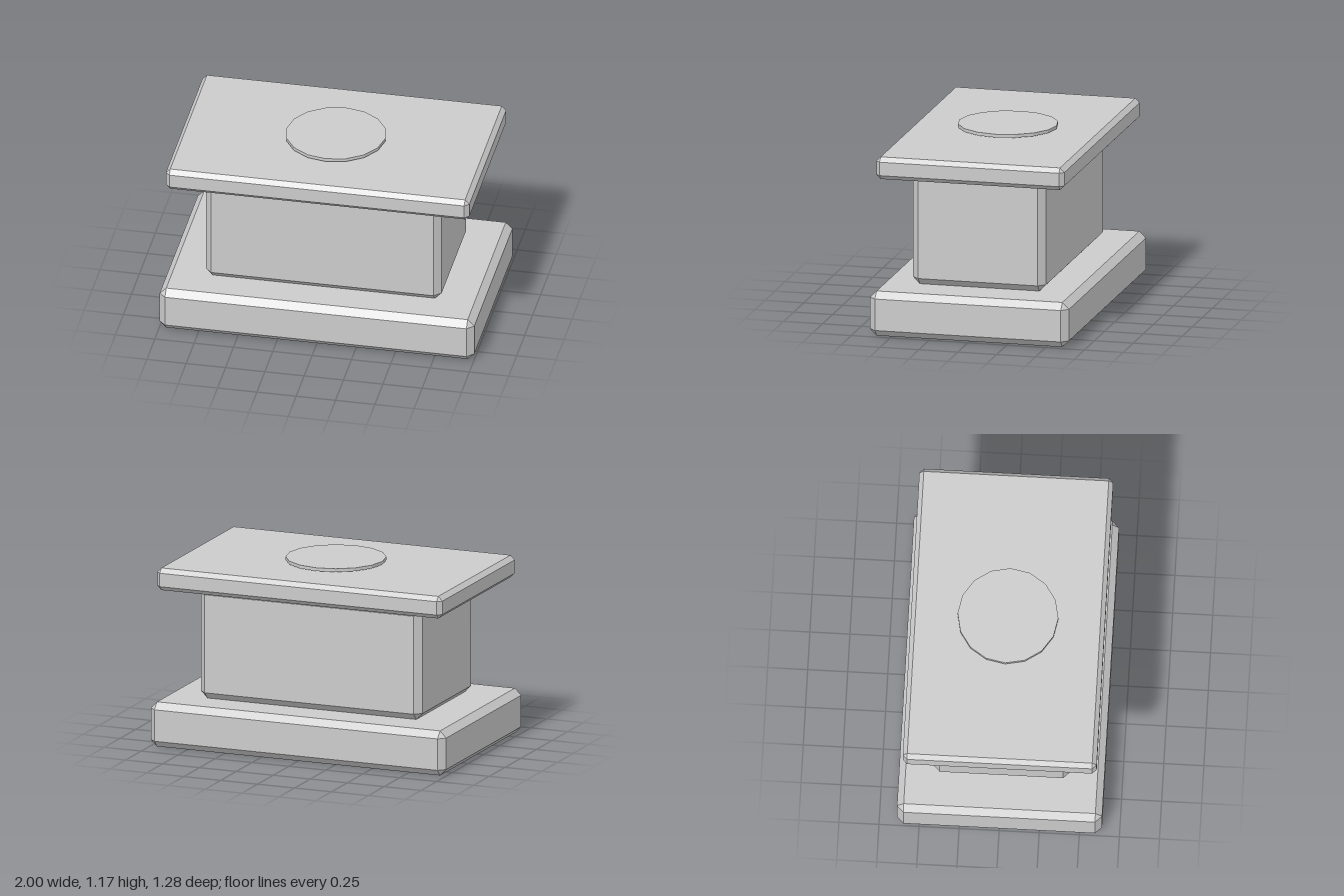
import * as THREE from 'three';
import { ConvexGeometry } from 'three/addons/geometries/ConvexGeometry.js';

const material = new THREE.MeshStandardMaterial({ color: 0xcccccc, flatShading: true });

// Box with every edge and corner chamfered by c, standing on y0
function chamferedBox(name, width, depth, y0, y1, c) {
  const half = [width / 2, (y1 - y0) / 2, depth / 2];
  const points = [];
  for (const sx of [-1, 1]) for (const sy of [-1, 1]) for (const sz of [-1, 1]) {
    // each corner becomes three points, one on each adjoining face
    for (let face = 0; face < 3; face++) {
      const [x, y, z] = half.map((h, axis) => (axis === face ? h : h - c));
      points.push(new THREE.Vector3(sx * x, sy * y, sz * z));
    }
  }
  const mesh = new THREE.Mesh(new ConvexGeometry(points), material);
  mesh.name = name;
  mesh.position.y = (y0 + y1) / 2;
  return mesh;
}

export function createModel() {
  const model = new THREE.Group();
  model.name = 'pedestal';

  // Stacked blocks
  model.add(
    chamferedBox('base', 2, 1.28, 0, 0.286, 0.042),
    chamferedBox('body', 1.5, 0.856, 0.286, 1.001, 0.043),
    chamferedBox('topSlab', 1.93, 1.21, 1.001, 1.143, 0.028),
  );

  // Thin disc hovering just above the slab
  const disc = new THREE.Mesh(new THREE.CylinderGeometry(0.314, 0.314, 0.021, 16), material);
  disc.name = 'topDisc';
  disc.position.y = 1.164;
  model.add(disc);

  return model;
}
